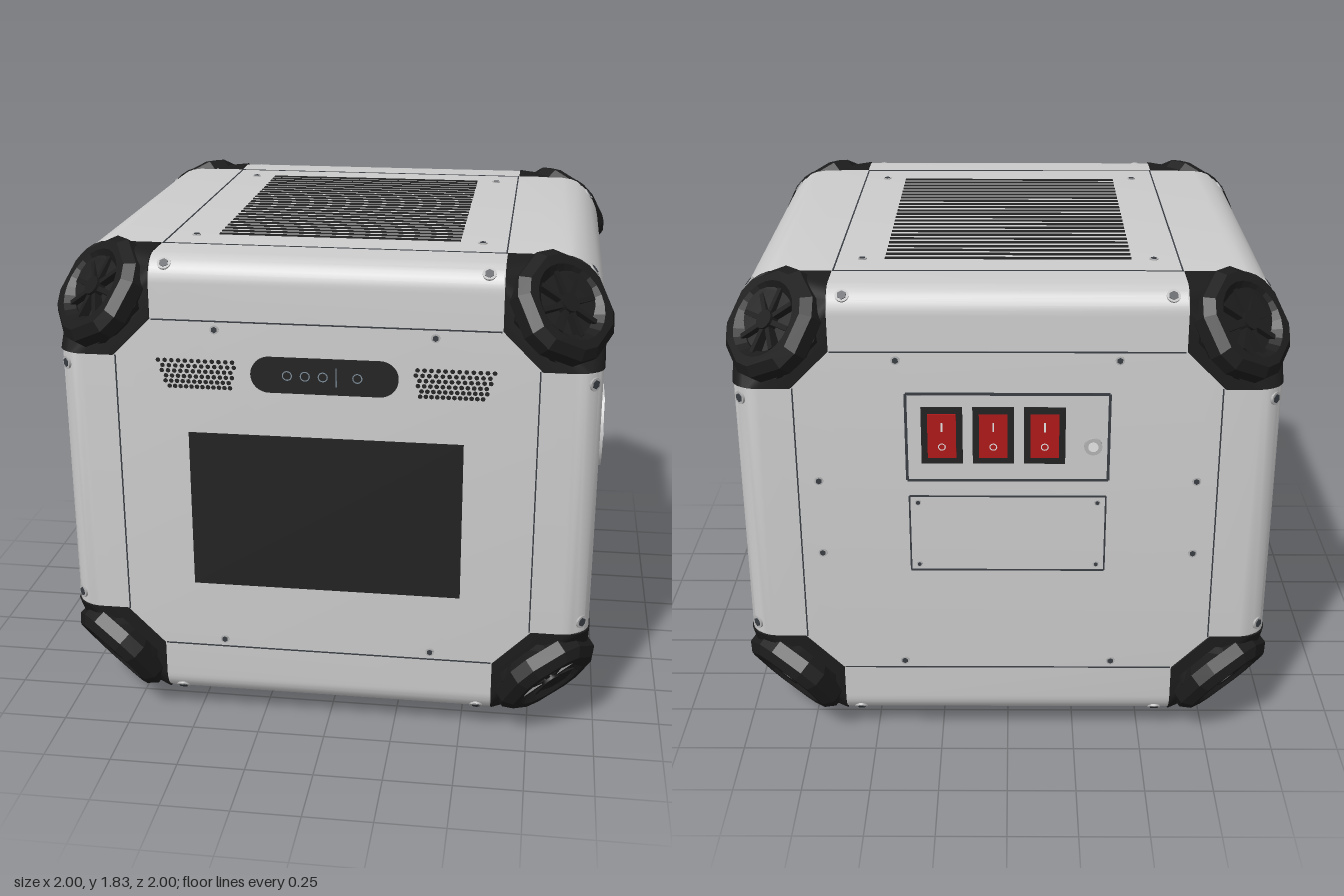
import * as THREE from 'three';
import { ConvexGeometry } from 'three/addons/geometries/ConvexGeometry.js';
import { mergeGeometries, toCreasedNormals } from 'three/addons/utils/BufferGeometryUtils.js';

const CY = 0.945; // height of the body centre
const SIGNS = [-1, 1];

function material(name, color, side = THREE.FrontSide) {
  const m = new THREE.MeshStandardMaterial({ color, side });
  m.name = name;
  return m;
}

// Quarter-ellipse from (a0, b0 + rb ... ) used as the cross-section of a rounded edge
function arc(a, b, ra, rb, n = 8) {
  return Array.from({ length: n + 1 }, (_, i) => {
    const t = (i / n) * Math.PI / 2;
    return [a - ra + ra * Math.cos(t), b - rb + rb * Math.sin(t)];
  });
}

// Ends of the three rounded edges that meet at a corner (positive octant)
function edgeEnds() {
  return [
    ...arc(0.96, 0.855, 0.16, 0.2).map(([x, y]) => [x, y, 0.7]),
    ...arc(0.855, 0.91, 0.09, 0.09).map(([y, z]) => [0.61, y, z]),
    ...arc(0.96, 0.91, 0.1, 0.09).map(([x, z]) => [x, 0.495, z]),
  ];
}

export function createModel() {
  const model = new THREE.Group();
  model.name = 'robotCube';
  const shell = material('shell grey', 0xcccccc, THREE.DoubleSide);
  const black = material('bumper black', 0x1c1c1c, THREE.DoubleSide);
  const glass = material('screen black', 0x222222);
  const dark = material('seam dark', 0x3a3f45);
  const steel = material('steel blue', 0x7d8f9c);
  const silver = material('screw silver', 0xb4b4b4);
  const red = material('switch red', 0xb01818);
  const white = material('white', 0xe6e6e6);

  const add = (parent, name, geo, mat, x = 0, y = 0, z = 0) => {
    const mesh = new THREE.Mesh(geo, mat);
    mesh.name = name;
    mesh.position.set(x, y, z);
    parent.add(mesh);
    return mesh;
  };
  const plate = (parent, name, w, h, mat, x, y, z = 0.001, t = 0.006) =>
    add(parent, name, new THREE.BoxGeometry(w, h, t), mat, x, y, z);
  const disc = (parent, name, r, t, mat, x, y, z = 0, n = 16) =>
    add(parent, name, new THREE.CylinderGeometry(r, r, t, n).rotateX(Math.PI / 2), mat, x, y, z);
  const outline = (parent, name, w, h, x, y, t = 0.006) => {
    for (const s of SIGNS) {
      plate(parent, name, w, t, dark, x, y + s * h / 2, 0.001, 0.004);
      plate(parent, name, t, h, dark, x + s * w / 2, y, 0.001, 0.004);
    }
  };
  const screw = (parent, x, y, z = 0, r = 0.016) => {
    const g = new THREE.Group();
    g.name = 'screw';
    g.position.set(x, y, z);
    disc(g, 'screwHead', r, 0.008, silver, 0, 0);
    disc(g, 'screwSocket', r * 0.7, 0.012, dark, 0, 0, 0, 6);
    parent.add(g);
    return g;
  };
  // A face group: local x and y lie in the face, local z points outward
  const face = (name, rx, ry, x, y, z) => {
    const g = new THREE.Group();
    g.name = name;
    g.rotation.set(rx, ry, 0);
    g.position.set(x, y, z);
    model.add(g);
    return g;
  };

  // Rounded shell, left open at both sides for the recessed side panels
  const pts = [];
  for (const sx of SIGNS) for (const sy of SIGNS) for (const sz of SIGNS)
    for (const [x, y, z] of edgeEnds()) pts.push(new THREE.Vector3(sx * x, CY + sy * y, sz * z));
  const hull = new ConvexGeometry(pts);
  const P = hull.attributes.position, N = hull.attributes.normal, kept = [];
  for (let i = 0; i < P.count; i += 3)
    if (Math.abs(N.getX(i)) < 0.9999)
      for (let k = i; k < i + 3; k++) kept.push(P.getX(k), P.getY(k), P.getZ(k));
  const open = new THREE.BufferGeometry();
  open.setAttribute('position', new THREE.Float32BufferAttribute(kept, 3));
  add(model, 'shell', toCreasedNormals(open, 0.35), shell);

  // Black corner caps and their bumper knobs
  const hex = new THREE.Shape();
  for (let i = 0; i < 12; i++) {
    const a = Math.floor(i / 2) * Math.PI / 3 + (i % 2 ? 0.17 : -0.17);
    hex[i ? 'lineTo' : 'moveTo'](0.175 * Math.cos(a), 0.175 * Math.sin(a));
  }
  hex.closePath();
  hex.holes.push(new THREE.Path().absarc(0, 0, 0.14, 0, Math.PI * 2, true));
  const rim = new THREE.ExtrudeGeometry(hex, { depth: 0.05, bevelThickness: 0.03, bevelSize: 0.03, bevelSegments: 1, curveSegments: 12 })
    .translate(0, 0, -0.08);
  const skirt = new THREE.CylinderGeometry(0.2, 0.14, 0.1, 6).rotateY(Math.PI / 2).rotateX(Math.PI / 2).rotateZ(Math.PI / 2);
  const spoke = new THREE.BoxGeometry(0.1, 0.018, 0.05).translate(0.07, 0, -0.04);
  const spokes = mergeGeometries(Array.from({ length: 8 }, (_, i) => spoke.clone().rotateZ(i * Math.PI / 4)));
  const capExtra = [[0.61, 0.635, 0.91], [0.75, 0.495, 0.91], [0.96, 0.495, 0.7], [0.61, 0.855, 0.7], [0.61, 0.495, 0.7]];
  for (const sx of SIGNS) for (const sy of SIGNS) for (const sz of SIGNS) {
    const e = 0.004;
    const cap = new ConvexGeometry([...edgeEnds(), ...capExtra].map(([x, y, z]) =>
      new THREE.Vector3(sx * (x + e), CY + sy * (y + e), sz * (z + e))));
    add(model, 'cornerCap', toCreasedNormals(cap, 0.35), black);
    const knob = new THREE.Group();
    knob.name = 'cornerBumper';
    const n = new THREE.Vector3(sx, sy, sz).normalize();
    const u = new THREE.Vector3(0, sy, 0).addScaledVector(n, -sy * n.y).normalize();
    knob.quaternion.setFromRotationMatrix(new THREE.Matrix4().makeBasis(u, n.clone().cross(u), n));
    knob.position.set(sx * 0.84, CY + sy * 0.735, sz * 0.85);
    add(knob, 'bumperRim', rim, black);
    add(knob, 'bumperSkirt', skirt, black, 0, 0, -0.13);
    add(knob, 'bumperSpokes', spokes, black);
    disc(knob, 'bumperHub', 0.035, 0.07, black, 0, 0, -0.04, 12);
    model.add(knob);
  }

  // Screws on the rounded edges
  const edgeScrew = (x, y, z, nx, ny, nz) =>
    screw(model, x, CY + y, z, 0.024).quaternion.setFromUnitVectors(new THREE.Vector3(0, 0, 1), new THREE.Vector3(nx, ny, nz).normalize());
  for (const a of SIGNS) for (const b of SIGNS) for (const c of SIGNS) {
    edgeScrew(a * 0.56, b * 0.829, c * 0.884, 0, b, c);
    edgeScrew(a * 0.931, b * 0.455, c * 0.884, a, 0, c);
    edgeScrew(a * 0.913, b * 0.797, c * 0.65, a, b * 0.8, 0);
  }

  // Front: screen, sensor bar, speaker grilles
  const front = face('frontPanel', 0, 0, 0, CY, 0.91);
  plate(front, 'screen', 0.98, 0.595, glass, 0, -0.077, 0.002, 0.008);
  const pill = new THREE.Shape();
  pill.absarc(0.195, 0, 0.065, -Math.PI / 2, Math.PI / 2);
  pill.absarc(-0.195, 0, 0.065, Math.PI / 2, Math.PI * 1.5);
  add(front, 'sensorBar', new THREE.ExtrudeGeometry(pill, { depth: 0.008, bevelEnabled: false }), glass, 0, 0.45, 0);
  for (const x of [-0.13, -0.067, -0.004, 0.117])
    add(front, 'sensorRing', new THREE.RingGeometry(0.014, 0.018, 16), steel, x, 0.45, 0.009);
  plate(front, 'sensorDivider', 0.004, 0.07, steel, 0.043, 0.45, 0.008, 0.003);
  const holes = [];
  for (const s of SIGNS) for (let r = 0; r < 6; r++) {
    const inner = 0.315 + (5 - r) * 0.004, outer = 0.59 - (5 - r) * 0.006;
    for (let i = 0; i < 12; i++)
      holes.push(new THREE.CircleGeometry(0.0085, 8).translate(s * (inner + (outer - inner) * (i + (r % 2) * 0.4) / 11.4), 0.393 + r * 0.019, 0.002));
  }
  add(front, 'speakerHoles', mergeGeometries(holes), glass);

  // Back: switch panel and blank cover
  const back = face('backPanel', 0, Math.PI, 0, CY, -0.91);
  plate(back, 'switchPanel', 0.7, 0.32, shell, 0, 0.315, 0.001, 0.006);
  outline(back, 'switchPanelEdge', 0.71, 0.33, 0, 0.315, 0.01);
  outline(back, 'blankCoverSeam', 0.7, 0.3, 0, -0.065);
  for (const x of [-0.23, -0.05, 0.13]) {
    plate(back, 'switchFrame', 0.145, 0.215, glass, x, 0.325, 0.004, 0.009);
    plate(back, 'rockerSwitch', 0.1, 0.165, red, x, 0.325, 0.01, 0.009);
    plate(back, 'switchMark', 0.006, 0.035, white, x, 0.36, 0.0145, 0.002);
    add(back, 'switchMark', new THREE.RingGeometry(0.01, 0.014, 12), white, x, 0.285, 0.0155);
  }
  disc(back, 'powerSocket', 0.032, 0.02, silver, 0.3, 0.285, 0.005);
  disc(back, 'powerSocketCore', 0.018, 0.024, white, 0.3, 0.285, 0.005);
  for (const a of SIGNS) for (const b of SIGNS) {
    screw(front, a * 0.385, b * 0.605);
    screw(back, a * 0.385, b * 0.605);
    screw(back, a * 0.67, b * 0.145);
    screw(back, a * 0.32, -0.065 + b * 0.125, 0, 0.011);
  }
  // Panel seams on front and back
  for (const f of [front, back]) for (const s of SIGNS) {
    plate(f, 'seam', 1.22, 0.005, dark, 0, s * 0.635, 0, 0.004);
    plate(f, 'seam', 0.005, 1.0, dark, s * 0.745, 0, 0, 0.004);
  }

  // Top and underside with ventilation slots
  const top = face('topPanel', -Math.PI / 2, 0, 0, CY + 0.855, 0);
  const bottom = face('underside', Math.PI / 2, 0, 0, CY - 0.855, 0);
  for (let i = 0; i < 24; i++) {
    plate(top, 'ventSlot', 0.88, 0.017, glass, 0, 0.555 - i * 0.0474);
    plate(bottom, 'ventSlot', 0.66, 0.017, glass, 0, 0.55 - i * 0.0474);
  }
  for (const s of SIGNS) {
    plate(top, 'seam', 0.005, 1.4, dark, s * 0.61, 0, 0, 0.004);
    plate(top, 'seam', 1.22, 0.005, dark, 0, s * 0.695, 0, 0.004);
    for (const b of SIGNS) {
      screw(top, s * 0.52, b * 0.56);
      screw(bottom, s * 0.38, b * 0.66);
    }
  }

  // Wheels with slanted rollers, set into bright wells
  const roller = new THREE.SphereGeometry(1, 12, 8).scale(0.12, 0.042, 0.042).rotateY(Math.PI / 4).translate(0, -0.178, 0);
  const rollers = mergeGeometries(Array.from({ length: 9 }, (_, i) => roller.clone().rotateX(i * Math.PI * 2 / 9)));
  for (const sx of SIGNS) for (const sz of SIGNS) {
    plate(bottom, 'wheelWell', 0.28, 0.44, white, sx * 0.6, sz * 0.43);
    const wheel = new THREE.Group();
    wheel.name = 'wheel';
    wheel.position.set(sx * 0.6, 0.222, sz * 0.43);
    wheel.scale.x = sx * sz;
    add(wheel, 'wheelRollers', rollers, black);
    for (const s of SIGNS)
      add(wheel, 'wheelPlate', new THREE.CylinderGeometry(0.185, 0.185, 0.012, 24).rotateZ(Math.PI / 2), silver, s * 0.09);
    model.add(wheel);
  }

  // Sides: panel with a dished recess and a flanged hub
  const panel = new THREE.Shape([[0.7, 0.655], [-0.7, 0.655], [-0.82, 0.495], [-0.82, -0.495], [-0.7, -0.655], [0.7, -0.655], [0.82, -0.495], [0.82, 0.495]]
    .map(([x, y]) => new THREE.Vector2(x, y)));
  panel.holes.push(new THREE.Path().absarc(0, 0, 0.41, 0, Math.PI * 2, true));
  const dish = new THREE.LatheGeometry([[0, -0.06], [0.33, -0.06], [0.385, -0.015], [0.41, 0]].map(([x, y]) => new THREE.Vector2(x, y)), 64)
    .rotateX(Math.PI / 2);
  const a = Math.asin(0.15 / 0.19);
  const flange = new THREE.Shape();
  flange.absarc(0, 0, 0.19, -a, a);
  flange.absarc(0, 0, 0.19, Math.PI - a, Math.PI + a);
  flange.holes.push(new THREE.Path().absarc(0, 0, 0.105, 0, Math.PI * 2, true));
  const flangeGeo = new THREE.ExtrudeGeometry(flange, { depth: 0.1, bevelEnabled: false, curveSegments: 32 }).translate(0, 0, -0.06);
  for (const s of SIGNS) {
    const side = face(s > 0 ? 'leftPanel' : 'rightPanel', 0, s * Math.PI / 2, s * 0.96, CY, 0);
    add(side, 'sidePlate', new THREE.ShapeGeometry(panel, 64), shell);
    add(side, 'recess', toCreasedNormals(dish, 0.4), shell);
    add(side, 'hubFlange', toCreasedNormals(flangeGeo, 0.5), shell);
    disc(side, 'hubBore', 0.105, 0.05, dark, 0, 0, -0.03, 32);
    add(side, 'boreRing', new THREE.RingGeometry(0.066, 0.1, 32), steel, 0, 0, -0.003);
    disc(side, 'shaft', 0.062, 0.06, steel, 0, 0, -0.025, 32);
    for (const [x, y] of [[0.145, 0], [-0.145, 0], [0.095, 0.108], [-0.095, 0.108], [0.095, -0.108], [-0.095, -0.108]]) {
      add(side, 'boltOutline', new THREE.RingGeometry(0.025, 0.03, 20), dark, x, y, 0.041);
      disc(side, 'flangeBolt', 0.025, 0.004, white, x, y, 0.04, 20);
    }
    plate(side, 'seam', 1.36, 0.006, dark, 0, 0.497, 0, 0.004);
    for (const p of SIGNS) for (const q of SIGNS) {
      screw(side, p * 0.14, q * 0.455);
      screw(side, p * 0.65, q * 0.145);
    }
  }
  return model;
}
